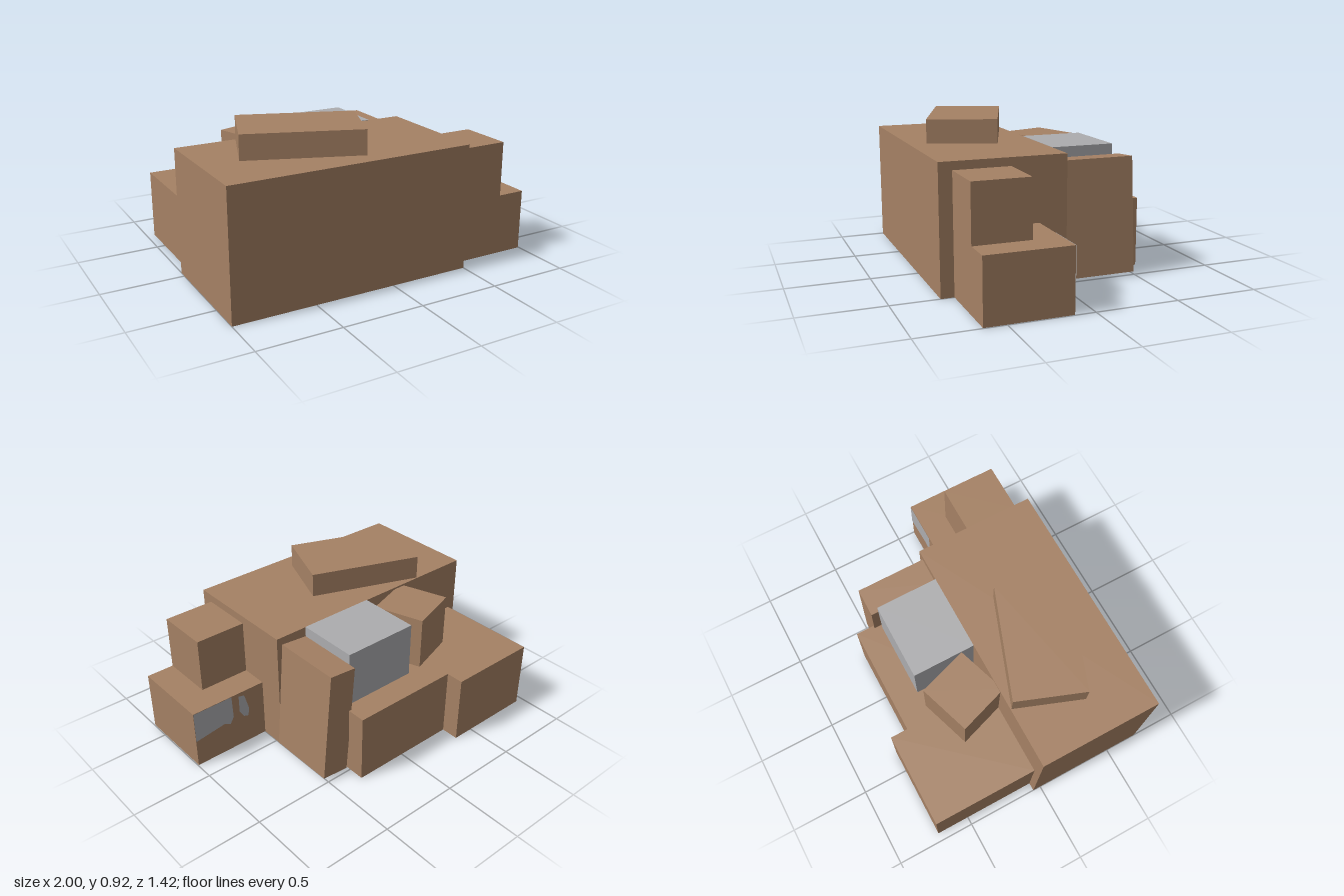
import * as THREE from 'three';

const brown = new THREE.MeshStandardMaterial({ color: 0xa58164, side: THREE.DoubleSide });
brown.name = 'brown wall';
const grey = new THREE.MeshStandardMaterial({ color: 0xadadaf, side: THREE.DoubleSide });
grey.name = 'grey metal';

// Face order of a box geometry
const FACES = ['right', 'left', 'top', 'bottom', 'front', 'back'];

// Box from min/max ranges, leaving out the named faces
function block(name, material, [x0, x1], [y0, y1], [z0, z1], open = []) {
  const geo = new THREE.BoxGeometry(x1 - x0, y1 - y0, z1 - z0);
  const index = Array.from(geo.index.array);
  geo.setIndex(index.filter((v, i) => !open.includes(FACES[Math.floor(i / 6)])));
  geo.clearGroups();
  const mesh = new THREE.Mesh(geo, material);
  mesh.name = name;
  mesh.position.set((x0 + x1) / 2, (y0 + y1) / 2, (z0 + z1) / 2);
  return mesh;
}

// Flat panel from an outline, turned about the vertical axis
function panel(name, material, points, turn, x, z) {
  const shape = new THREE.Shape(points.map(([u, v]) => new THREE.Vector2(u, v)));
  const mesh = new THREE.Mesh(new THREE.ShapeGeometry(shape), material);
  mesh.name = name;
  mesh.rotation.y = turn;
  mesh.position.set(x, 0, z);
  return mesh;
}

export function createModel() {
  const model = new THREE.Group();
  model.name = 'building';

  // Main hall, open underneath and into its annexes
  model.add(block('mainHall', brown, [-1, 0.5], [0, 0.77], [-0.05, 0.71], ['bottom', 'back', 'right']));
  model.add(panel('mainHallBackWall', brown, [
    [-0.5, 0], [-0.33, 0], [-0.33, 0.43], [0.95, 0.43], [0.95, 0], [1, 0], [1, 0.77], [-0.5, 0.77],
  ], Math.PI, 0, -0.05));
  model.add(panel('mainHallSideWall', brown, [
    [-0.71, 0], [-0.63, 0], [-0.63, 0.72], [-0.29, 0.72], [-0.29, 0.38],
    [-0.12, 0.38], [-0.12, 0], [0.05, 0], [0.05, 0.77], [-0.71, 0.77],
  ], Math.PI / 2, 0.5, 0));

  // Rear annexes
  model.add(block('rearAnnexDeep', brown, [-0.95, -0.365], [0, 0.43], [-0.71, -0.05], ['bottom', 'front', 'right']));
  model.add(block('rearAnnexShallow', brown, [-0.365, 0.33], [0, 0.43], [-0.6, -0.05], ['bottom', 'front', 'left']));
  model.add(panel('rearAnnexCorner', brown, [
    [-0.71, 0], [-0.6, 0], [-0.6, 0.43], [-0.71, 0.43],
  ].map(([z, y]) => [-z, y]), Math.PI / 2, -0.365, 0));

  // Stepped side annex
  model.add(block('sideAnnexLow', brown, [0.5, 0.995], [0, 0.38], [0.12, 0.63], ['bottom', 'left']));
  model.add(block('sideAnnexTall', brown, [0.5, 0.82], [0.38, 0.72], [0.29, 0.63], ['bottom', 'left']));

  // Grey patches running down the back of the side annex
  const patches = [
    [[-0.995, 0.18], [-0.79, 0.21], [-0.75, 0.19], [-0.725, 0.23], [-0.73, 0.38], [-0.995, 0.38]],
    [[-0.68, 0.25], [-0.65, 0.2], [-0.62, 0.19], [-0.61, 0.24], [-0.64, 0.35], [-0.68, 0.36]],
  ];
  patches.forEach((p, i) => model.add(panel('greyPatch' + (i + 1), grey, p.map(([u, v]) => [u, v]), Math.PI, 0, 0.117)));

  // Roof units
  model.add(block('greyRoofUnit', grey, [-0.19, 0.29], [0.43, 0.772], [-0.44, -0.05]));

  const roofSlab = block('roofSlab', brown, [-0.725, -0.025], [0.77, 0.918], [0.065, 0.495]);
  roofSlab.rotation.y = -0.358;
  model.add(roofSlab);

  const turnedUnit = block('turnedRoofUnit', brown, [-0.56, -0.23], [0.43, 0.758], [-0.388, -0.068]);
  turnedUnit.position.set(-0.395, 0.594, -0.23);
  turnedUnit.rotation.y = 0.32;
  model.add(turnedUnit);

  // Leaning buttress behind the hall
  const buttress = block('leaningButtress', brown, [0.318, 0.492], [0.018, 0.716], [-0.485, -0.05]);
  buttress.rotation.z = 0.082;
  model.add(buttress);

  return model;
}
